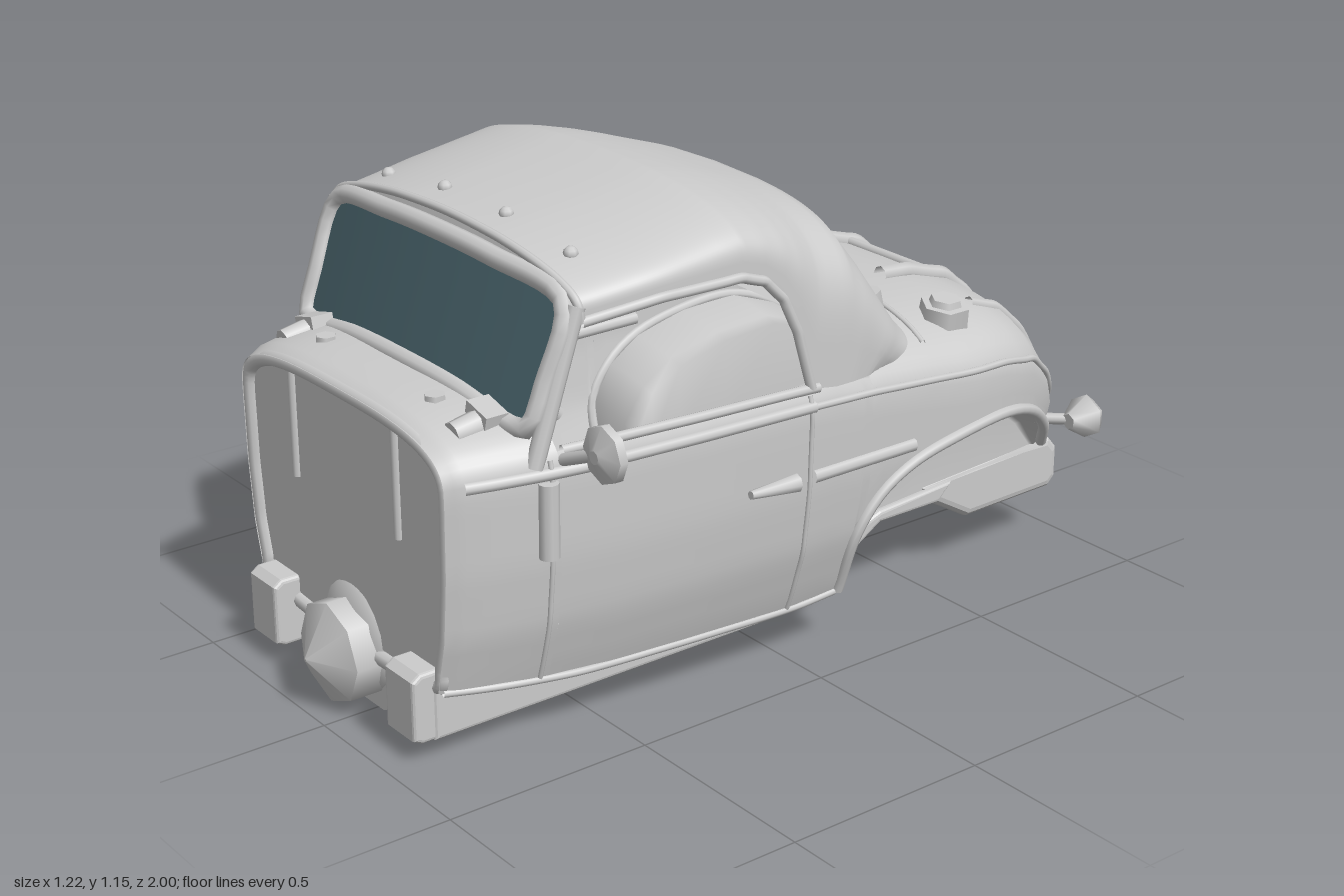
import * as THREE from 'three';

const grey = new THREE.MeshStandardMaterial({ color: 0xcccccc, side: THREE.DoubleSide });
const glassMat = new THREE.MeshStandardMaterial({ color: 0x48626a, side: THREE.DoubleSide });
const V = (x, y, z) => new THREE.Vector3(x, y, z);

// piecewise linear lookup in [[key, value], ...] with falling keys
function lookup(table, k) {
  for (let i = 1; i < table.length; i++) {
    const [a, va] = table[i - 1], [b, vb] = table[i];
    if (k >= b) return va + (vb - va) * Math.min(1, Math.max(0, (a - k) / (a - b)));
  }
  return table[table.length - 1][1];
}

// body measurements along z
const WIDTH = [[0.89, 0.415], [0.84, 0.44], [0.7, 0.478], [0.6, 0.5], [0.3, 0.52], [0, 0.533], [-0.5, 0.535], [-0.6, 0.525], [-0.7, 0.5], [-0.8, 0.458], [-0.86, 0.415], [-0.94, 0.305], [-0.98, 0.17], [-0.995, 0.08], [-1, 0.02]];
const TOP = [[0.89, 0.75], [0.85, 0.768], [0.6, 0.79], [0, 0.77], [-0.36, 0.755], [-0.6, 0.735], [-0.72, 0.7], [-0.8, 0.635], [-0.86, 0.545], [-0.92, 0.43], [-0.97, 0.335], [-1, 0.275]];
const KNEE = [[0.89, 0.62], [0, 0.62], [-0.17, 0.6], [-0.45, 0.55], [-0.6, 0.53], [-0.72, 0.49], [-0.82, 0.41], [-0.88, 0.33], [-0.95, 0.285], [-1, 0.272]];
const ARCH = [[-0.14, 0.14], [-0.15, 0.3], [-0.21, 0.385], [-0.3, 0.44], [-0.45, 0.475], [-0.61, 0.485], [-0.72, 0.45], [-0.82, 0.37], [-0.88, 0.29]];
const BOTTOM = [[0.89, 0.17], [0.5, 0.145], [0, 0.13], ...ARCH, [-0.95, 0.275], [-1, 0.27]];
const TUCK = [[1, 0.97], [0.65, 1], [0.45, 0.99], [0.3, 0.955], [0.17, 0.88], [0.13, 0.85]];
const FLOOR = [[0.87, 0.185], [0.5, 0.155], [0, 0.138], [-0.14, 0.15], [-0.37, 0.23], [-0.6, 0.25], [-0.88, 0.272], [-1, 0.272]];

// point on the body: s = -1 lower edge, 0 widest line, 1 top centre
function body(z, s, side = 1, out = 0) {
  const w = lookup(WIDTH, z), yk = lookup(KNEE, z), p = 0.64;
  if (s <= 0) {
    const y = yk + s * (yk - lookup(BOTTOM, z));
    return V(side * (w * lookup(TUCK, y) + out), y, z);
  }
  const a = Math.min(s, 1) * Math.PI / 2;
  const c = Math.pow(Math.max(0, Math.cos(a)), p), q = Math.pow(Math.sin(a), p);
  return V(side * (w * c + out * c), yk + (lookup(TOP, z) - yk) * q + out * q, z);
}
const atY = (z, y, side, out) => {
  const k = lookup(KNEE, z);
  return body(z, Math.max(-1, (y - k) / (k - lookup(BOTTOM, z))), side, out);
};
const atX = (z, x, out) => {
  const c = Math.min(1, Math.pow(Math.abs(x) / lookup(WIDTH, z), 1 / 0.64));
  return body(z, Math.max(0.01, Math.acos(c) / (Math.PI / 2)), Math.sign(x) || 1, out);
};

// roof arches: half width, side y, top y, side z, top z
const ROOF = [
  [0.475, 0.965, 1.085, 0.585, 0.595], [0.5, 0.985, 1.115, 0.4, 0.4], [0.507, 0.985, 1.153, 0.19, 0.19], [0.509, 0.965, 1.14, 0.13, 0.12],
  [0.511, 0.915, 1.125, 0.08, 0.06], [0.514, 0.83, 1.11, 0.04, 0.01], [0.517, 0.69, 1.09, 0, -0.05], [0.52, 0.68, 1.06, -0.07, -0.14],
  [0.52, 0.68, 0.98, -0.12, -0.2], [0.515, 0.68, 0.85, -0.17, -0.29], [0.5, 0.67, 0.755, -0.2, -0.365]];
const CORNER = 0.42;
function roof(v, t) {
  const i = Math.min(ROOF.length - 2, Math.floor(v));
  const [w, ys, yt, zs, zt] = ROOF[i].map((a, k) => a + (ROOF[i + 1][k] - a) * (v - i));
  const c = Math.pow(Math.abs(Math.cos(t)), CORNER), q = Math.pow(Math.max(0, Math.sin(t)), CORNER);
  const crown = Math.min(0.05, 0.4 * (yt - ys));
  return V(w * Math.sign(Math.cos(t)) * c, ys + (yt - crown - ys) * q + crown * (1 - c * c), zs + (zt - zs) * q);
}
const roofAtX = (v, x) => roof(v, Math.acos(Math.sign(x) * Math.pow(Math.abs(x) / 0.51, 1 / CORNER)));

export function createModel() {
  const car = new THREE.Group();
  const add = (name, geo, mat = grey) => {
    const m = new THREE.Mesh(geo, mat);
    m.name = name;
    car.add(m);
    return m;
  };
  // surface from fn(i, j) over a rows x columns net
  const net = (name, n, m, fn, mat) => {
    const pos = [], idx = [];
    for (let i = 0; i <= n; i++) for (let j = 0; j <= m; j++) {
      pos.push(...fn(i, j).toArray());
      if (i < n && j < m) {
        const a = i * (m + 1) + j, b = a + m + 1;
        idx.push(a, a + 1, b, b, a + 1, b + 1);
      }
    }
    const g = new THREE.BufferGeometry();
    g.setAttribute('position', new THREE.Float32BufferAttribute(pos, 3));
    g.setIndex(idx);
    g.computeVertexNormals();
    return add(name, g, mat);
  };
  const tube = (name, pts, r, closed = false) => add(name, new THREE.TubeGeometry(
    new THREE.CatmullRomCurve3(pts, closed, 'centripetal'), pts.length * 4, r, 8, closed));
  // solid rod with end radii, from a to b
  const rod = (name, a, b, r0, r1 = r0, sides = 10) => {
    const m = add(name, new THREE.CylinderGeometry(r1, r0, a.distanceTo(b), sides));
    m.position.copy(a).lerp(b, 0.5);
    m.quaternion.setFromUnitVectors(V(0, 1, 0), b.clone().sub(a).normalize());
  };
  const along = (n, fn) => Array.from({ length: n + 1 }, (_, i) => fn(i / n));

  // cowl, rear deck with tail, and door sides
  const across = (z, j, n) => { const u = -1 + 2 * j / n; return body(z, 1 - 2 * Math.abs(u), u < 0 ? -1 : 1); };
  const cowlZ = [0.89, 0.87, 0.85, 0.8, 0.75, 0.7, 0.65];
  net('cowl', 6, 56, (i, j) => across(cowlZ[i], j, 56));
  const tailZ = [-0.17, -0.21, -0.25, -0.3, -0.36, -0.4, -0.45, -0.5, -0.56, -0.61, -0.66, -0.72, -0.77, -0.82, -0.85, -0.88, -0.915, -0.945, -0.97, -0.985, -0.995, -1];
  net('rearBody', tailZ.length - 1, 56, (i, j) => across(tailZ[i], j, 56));
  const doorZ = [0.65, 0.5, 0.3, 0.15, 0, -0.07, -0.14, -0.15, -0.17];
  for (const s of [-1, 1]) {
    net('doorSide', 8, 16, (i, j) => body(doorZ[i], -1 + 1.2 * j / 16, s));
    // seams, mouldings and sill
    for (const z of [0.67, 0.01]) tube('doorSeam', along(10, t => body(z, -1 + 1.15 * t, s)), 0.006);
    tube('beltMoulding', along(16, t => body(0.85 - 0.85 * t, 0.06, s, -0.004)), 0.014);
    tube('windowSill', along(8, t => body(0.64 - 0.66 * t, 0.2, s)), 0.012);
    tube('bodyLowerEdge', along(10, t => body(0.88 - 1.01 * t, -1, s)), 0.009);
    tube('fenderCrown', along(20, t => body(-0.9 * t, 0.06 + 0.14 * t, s)), 0.009);
    tube('sideMoulding', along(8, t => atY(-0.3 * t, 0.485, s, -0.004)), 0.017);
    tube('wheelArchLip', ARCH.map(([z]) => body(z, -1, s)), 0.014);
    tube('tailLowerEdge', along(8, t => body(-0.88 - 0.11 * t, -1, s)), 0.009);
    // wheel housing
    net('wheelHousing', ARCH.length - 1, 4, (i, j) => {
      const e = body(ARCH[i][0], -1, s), inner = Math.min(0.335, Math.abs(e.x));
      const f = [0, 0.4, 0.8, 1, 1][j];
      return V(s * THREE.MathUtils.lerp(Math.abs(e.x), inner, f), j === 4 ? Math.min(0.22, e.y) : e.y - 0.03 * f * f, e.z);
    });
    // hinge, handle, tail lamp
    rod('doorHinge', V(s * 0.482, 0.47, 0.68), V(s * 0.484, 0.64, 0.68), 0.023);
    rod('doorHandle', V(s * 0.53, 0.485, 0.05), V(s * 0.53, 0.49, 0.18), 0.022, 0.01, 8);
    rod('tailLampStalk', V(s * 0.39, 0.37, -0.83), V(s * 0.46, 0.375, -0.89), 0.014);
    rod('tailLamp', V(s * 0.465, 0.375, -0.87), V(s * 0.465, 0.375, -0.93), 0.02, 0.056, 6);
    rod('tailLampLens', V(s * 0.465, 0.375, -0.93), V(s * 0.465, 0.375, -0.955), 0.056, 0.035, 6);
    // luggage rails and deck ribs
    tube('luggageRail', along(10, t => atX(-0.52 - 0.4 * t, s * 0.157, 0.002)), 0.022);
    tube('deckRib', along(8, t => atX(-0.63 - 0.22 * t, s * 0.35, -0.004)), 0.016);
    // cowl fittings, roof catches and studs
    const wiper = add('wiperMotor', new THREE.BoxGeometry(0.075, 0.05, 0.055));
    wiper.position.set(s * 0.343, 0.755, 0.735);
    wiper.rotation.z = -s * 0.25;
    rod('wiperSpindle', V(s * 0.343, 0.745, 0.74), V(s * 0.343, 0.735, 0.82), 0.034, 0.028, 8);
    rod('cowlKnob', V(s * 0.22, 0.73, 0.78), V(s * 0.22, 0.778, 0.78), 0.028, 0.024, 6);
    rod('roofCatch', V(s * 0.345, 0.72, -0.33), V(s * 0.345, 0.8, -0.315), 0.032, 0.028, 8);
    rod('firewallRib', V(s * 0.21, 0.47, 0.874), V(s * 0.21, 0.72, 0.874), 0.012);
    for (const x of [0.125, 0.37]) add('roofStud', new THREE.SphereGeometry(0.017, 8, 6)).position.copy(roofAtX(0.38, s * x));
  }
  tube('rearDeckSeam', along(20, t => {
    const x = (t * 2 - 1) * 0.47;
    return atX(-0.405 + 0.15 * x * x, x, 0);
  }), 0.007);
  rod('luggageCrossbar', V(-0.157, 0.71, -0.69), V(0.157, 0.71, -0.69), 0.014);
  rod('fuelCap', V(0.395, 0.68, -0.5), V(0.405, 0.745, -0.5), 0.062, 0.058, 6);
  rod('fuelCapTop', V(0.405, 0.745, -0.5), V(0.407, 0.76, -0.5), 0.04, 0.035, 6);

  // firewall with rolled rim
  const rim = along(40, t => across(0.885, t * 40, 40));
  const wall = add('firewall', new THREE.ShapeGeometry(new THREE.Shape(rim.map(p => new THREE.Vector2(p.x, p.y)))));
  wall.position.z = 0.875;
  tube('firewallRim', rim.map(p => V(p.x * 0.965, 0.45 + (p.y - 0.45) * 0.96, 0.875)), 0.018, true);
  const bell = add('gearboxBulge', new THREE.SphereGeometry(0.14, 16, 10));
  bell.position.set(0, 0.16, 0.85);
  bell.scale.z = 0.4;

  // soft roof with header, opening edges and rear window
  net('roof', 40, 56, (i, j) => roof(i / 4, Math.PI * j / 56));
  net('roofHeader', 1, 56, (i, j) => {
    const p = roof(0, Math.PI * j / 56);
    return i ? V(p.x * 0.955, p.y - 0.035, p.z + 0.01) : p;
  });
  for (const t of [0, Math.PI]) tube('sideWindowEdge', along(24, k => roof(6 * k, t)), 0.012);
  tube('roofFrontEdge', along(32, k => roof(0, Math.PI * k)), 0.01);
  net('rearWindow', 28, 4, (i, j) => {
    const x = (i / 14 - 1) * 0.21, over = Math.max(0, Math.abs(x) - 0.15) / 0.06;
    const v = 8.6 + (j / 2 - 1) * 0.48 * (0.4 + 0.6 * Math.sqrt(1 - over * over));
    return roofAtX(v, x).add(V(0, 0.004, -0.006));
  }, glassMat);

  // windscreen, leaning back and crowned in the middle
  const screen = (x, y) => V(x, y + 0.035 * (1 - (x / 0.46) ** 2), 0.705 - (y - 0.72) * 0.37 + 0.02 * (1 - (x / 0.46) ** 2));
  const frame = [[-0.4, 0.735], [-0.2, 0.74], [0, 0.74], [0.2, 0.74], [0.4, 0.735], [0.44, 0.75], [0.45, 0.85], [0.455, 0.97], [0.43, 1.008],
    [0.2, 1.012], [0, 1.012], [-0.2, 1.012], [-0.43, 1.008], [-0.455, 0.97], [-0.45, 0.85], [-0.44, 0.75]];
  tube('windscreenFrame', frame.map(([x, y]) => screen(x, y)), 0.023, true);
  net('windscreen', 16, 4, (i, j) => screen((i / 8 - 1) * 0.445, 0.735 + 0.27 * j / 4), glassMat);
  for (const s of [-1, 1]) rod('windscreenPillar', V(s * 0.462, 0.67, 0.7), V(s * 0.465, 1.0, 0.59), 0.02);
  rod('steeringColumn', V(0.23, 0.66, 0.48), V(0.23, 0.75, 0.57), 0.02);

  // door mirror on the left side only
  rod('mirrorArm', V(0.47, 0.675, 0.64), V(0.59, 0.725, 0.63), 0.014);
  rod('mirrorHead', V(0.608, 0.73, 0.615), V(0.608, 0.73, 0.635), 0.064, 0.064, 8);
  rod('mirrorBack', V(0.608, 0.73, 0.635), V(0.608, 0.73, 0.655), 0.064, 0.015, 8);

  // continuous floor from firewall to tail
  const floorZ = [0.87, 0.7, 0.5, 0.25, 0, ...ARCH.map(a => a[0]), -0.915, -0.945, -0.97, -0.985, -1];
  net('floor', floorZ.length - 1, 2, (i, j) => {
    const z = floorZ[i], w = lookup(WIDTH, z);
    return V((j - 1) * (z > -0.145 ? 0.86 * w : z > -0.87 ? 0.345 : 0.93 * w), lookup(FLOOR, z), z);
  });
  // rounded side-profile extrusion, points given as [z, y]
  const profile = (pts, width, x, r) => {
    const g = new THREE.ExtrudeGeometry(new THREE.Shape(pts.map(p => new THREE.Vector2(...p))),
      { depth: width - 2 * r, bevelEnabled: true, bevelSize: r, bevelThickness: r, bevelOffset: -r, bevelSegments: 3 });
    return g.translate(0, 0, r - width / 2).rotateY(-Math.PI / 2).translate(x, 0, 0);
  };
  for (const s of [-1, 1]) {
    add('chassisRail', profile([[0.89, 0.05], [-0.06, 0.05], [-0.16, 0.075], [-0.37, 0.205], [-0.56, 0.205],
      [-0.6, 0.25], [-0.37, 0.235], [-0.2, 0.175], [-0.06, 0.15], [0.5, 0.16], [0.89, 0.18]], 0.105, s * 0.298, 0.01));
    add('railFrontBlock', profile([[0.94, 0.06], [0.94, 0.2], [0.92, 0.215], [0.8, 0.215], [0.8, 0.05], [0.92, 0.05]], 0.115, s * 0.288, 0.01));
  }
  add('rearPan', profile([[-0.55, 0.2], [-0.67, 0.13], [-0.95, 0.135], [-0.975, 0.16], [-0.975, 0.24], [-0.945, 0.275], [-0.85, 0.278], [-0.5, 0.255]], 0.68, 0, 0.022));

  // front crossmember, nose cone and underfloor shaft
  const vee = new THREE.Shape([[-0.27, 0.1], [-0.09, 0.003], [0.09, 0.003], [0.27, 0.1], [0.27, 0.17], [-0.27, 0.17]].map(p => new THREE.Vector2(...p)));
  add('frontCrossmember', new THREE.ExtrudeGeometry(vee, { depth: 0.06, bevelEnabled: false })).position.z = 0.8;
  rod('noseDrum', V(0, 0.135, 0.8), V(0, 0.135, 0.94), 0.12, 0.12, 8);
  rod('noseCone', V(0, 0.135, 0.94), V(0, 0.135, 1), 0.12, 0.004, 8);
  rod('driveShaft', V(0, 0.11, 0.8), V(0, 0.12, 0.05), 0.018);
  add('shaftJoint', new THREE.SphereGeometry(0.03, 10, 8)).position.set(0, 0.12, 0.05);
  for (const z of [0.5, 0.12]) rod('crossmember', V(-0.3, 0.1, z), V(0.3, 0.1, z), 0.02);

  car.position.x = -0.068;
  const model = new THREE.Group();
  model.name = 'carBody';
  model.add(car);
  return model;
}
